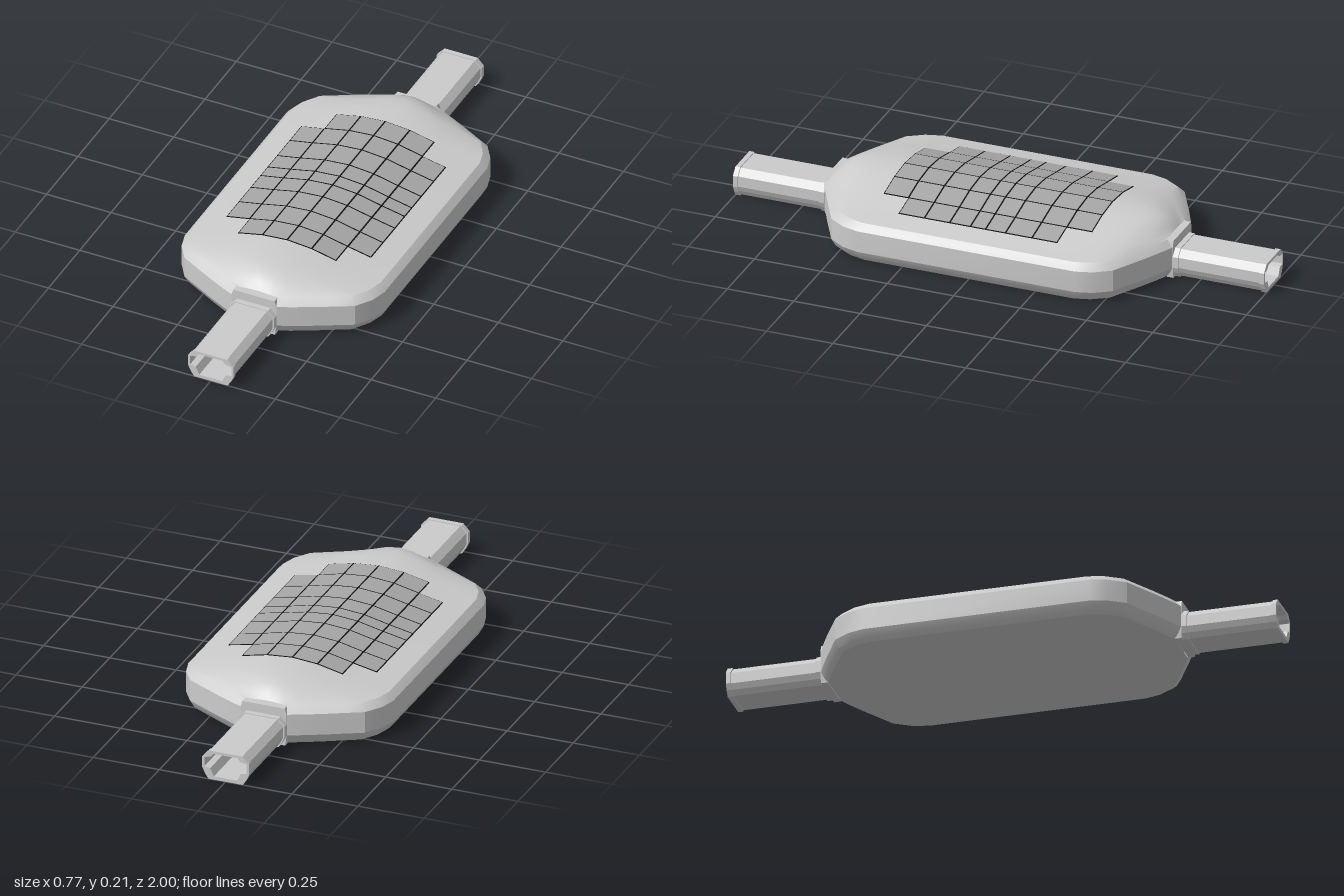
import * as THREE from 'three';
import { toCreasedNormals } from 'three/addons/utils/BufferGeometryUtils.js';

const RIM_W = 0.365, RIM_Y = 0.145, RISE = 0.063;
// crown profile: [x, share of the rise], from the ridge to the rim
const CROWN = [[0, 1], [0.095, 0.87], [0.19, 0.53], [0.28, 0.24], [RIM_W, 0]];

function crown(x) {
  const a = Math.min(Math.abs(x), RIM_W);
  for (let i = 1; i < CROWN.length; i++) {
    const [x0, h0] = CROWN[i - 1], [x1, h1] = CROWN[i];
    if (a <= x1 + 1e-6) return h0 + (h1 - h0) * (a - x0) / (x1 - x0);
  }
  return 0;
}

const grey = new THREE.MeshStandardMaterial({ color: 0xcccccc, side: THREE.DoubleSide });
const tileGrey = new THREE.MeshStandardMaterial({ color: 0xa6a6a6 });
const black = new THREE.MeshStandardMaterial({ color: 0x111111 });

function add(parent, name, geometry, material = grey) {
  const mesh = new THREE.Mesh(geometry, material);
  mesh.name = name;
  parent.add(mesh);
  return mesh;
}

// hollow body lofted from cross-sections along z
function bodyGeometry() {
  // [z, half width, share of crown height]
  const half = [[0.655, 0.085, 0.08], [0.635, 0.13, 0.45], [0.6, 0.2, 0.77], [0.565, 0.265, 0.9],
    [0.53, 0.33, 0.96], [0.47, 0.37, 1], [0.41, 0.387, 1]];
  const rows = [...half, ...half.map(([z, w, e]) => [-z, w, e]).reverse()];
  // [y, inset] up the side wall
  const wall = [[0, 0.026], [0.012, 0.014], [0.04, 0], [0.12, 0], [RIM_Y, 0.022]];
  const inner = CROWN.slice(0, -1).map(([x]) => x / RIM_W);
  const us = [...inner.slice().reverse(), ...inner.slice(1).map(u => -u)];

  const rings = rows.map(([z, w, e]) => {
    const side = s => wall.map(([y, d]) => [s * w * (1 - d / 0.387), y, z * (1 - d / 0.655)]);
    const rimW = w * RIM_W / 0.387, rimZ = z * (1 - 0.022 / 0.655);
    const top = us.map(u => [u * rimW, RIM_Y + RISE * e * crown(u * RIM_W), rimZ]);
    return [...side(1), ...top, ...side(-1).reverse()];
  });

  const n = rings[0].length, index = [];
  for (let i = 0; i < rings.length - 1; i++) {
    for (let j = 0; j < n; j++) {
      const k = (j + 1) % n, a = i * n + j, b = i * n + k, c = b + n, d = a + n;
      index.push(a, c, b, a, d, c);
    }
  }
  const g = new THREE.BufferGeometry();
  g.setAttribute('position', new THREE.Float32BufferAttribute(rings.flat(2), 3));
  g.setIndex(index);
  return toCreasedNormals(g, 0.45);
}

// mirrored outline from right-hand points, listed bottom to top
function mirrored(points) {
  const all = [...points, ...points.map(([x, y]) => [-x, y]).reverse()];
  return all.map(([x, y]) => new THREE.Vector2(x, y));
}

const SLEEVE = [[0.065, 0], [0.078, 0.02], [0.088, 0.042], [0.088, 0.084], [0.064, 0.11]];
const BORE = [[0.044, 0.013], [0.058, 0.042], [0.08, 0.046], [0.08, 0.082], [0.056, 0.087], [0.046, 0.1]];
const COLLAR = [[0.082, 0], [0.087, 0.04], [0.087, 0.12], [0.08, 0.143]];

// bored prism between two z positions
function bored(outline, z0, z1, scale = 1) {
  const shape = new THREE.Shape(mirrored(outline.map(([x, y]) => [x * scale, 0.055 + (y - 0.055) * scale])));
  shape.holes.push(new THREE.Path(mirrored(BORE)));
  return new THREE.ExtrudeGeometry(shape, { depth: z1 - z0, bevelEnabled: false }).translate(0, 0, z0);
}

// slab draped on the crown
function slab(x0, x1, z0, z1, thick, lift) {
  const g = new THREE.BoxGeometry(x1 - x0, thick, z1 - z0).translate((x0 + x1) / 2, lift, (z0 + z1) / 2);
  const p = g.attributes.position;
  for (let i = 0; i < p.count; i++) p.setY(i, p.getY(i) + RIM_Y + RISE * crown(p.getX(i)));
  g.computeVertexNormals();
  return g;
}

export function createModel() {
  const model = new THREE.Group();
  model.name = 'device';
  add(model, 'body', bodyGeometry());

  // strap sleeve at each end
  for (const [name, turn] of [['frontStrap', 0], ['backStrap', Math.PI]]) {
    const strap = new THREE.Group();
    strap.name = name;
    strap.rotation.y = turn;
    add(strap, 'collar', bored(COLLAR, 0.632, 0.656));
    add(strap, 'rootBand', bored(SLEEVE, 0.656, 0.676));
    add(strap, 'sleeve', bored(SLEEVE, 0.676, 0.982, 0.94));
    add(strap, 'endBand', bored(SLEEVE, 0.982, 1));
    model.add(strap);
  }

  // tiled panel with dark seams
  const panel = new THREE.Group();
  panel.name = 'tilePanel';
  const zs = [-0.395, -0.3, -0.205, -0.105, -0.03, 0.027, 0.105, 0.2, 0.297, 0.39];
  const gap = 0.003;
  for (const s of [-1, 1]) {
    for (let c = 0; c < 3; c++) {
      const [a, b] = [s * CROWN[c][0], s * CROWN[c + 1][0]].sort((p, q) => p - q);
      const edges = c < 2 ? zs : zs.slice(1, -1);
      add(panel, 'seamBacking', slab(a, b, edges[0], edges[edges.length - 1], 0.003, 0.0005), black);
      for (let r = 0; r < edges.length - 1; r++) {
        add(panel, 'tile', slab(a + gap, b - gap, edges[r] + gap, edges[r + 1] - gap, 0.003, 0.0015), tileGrey);
      }
    }
  }
  model.add(panel);
  return model;
}
